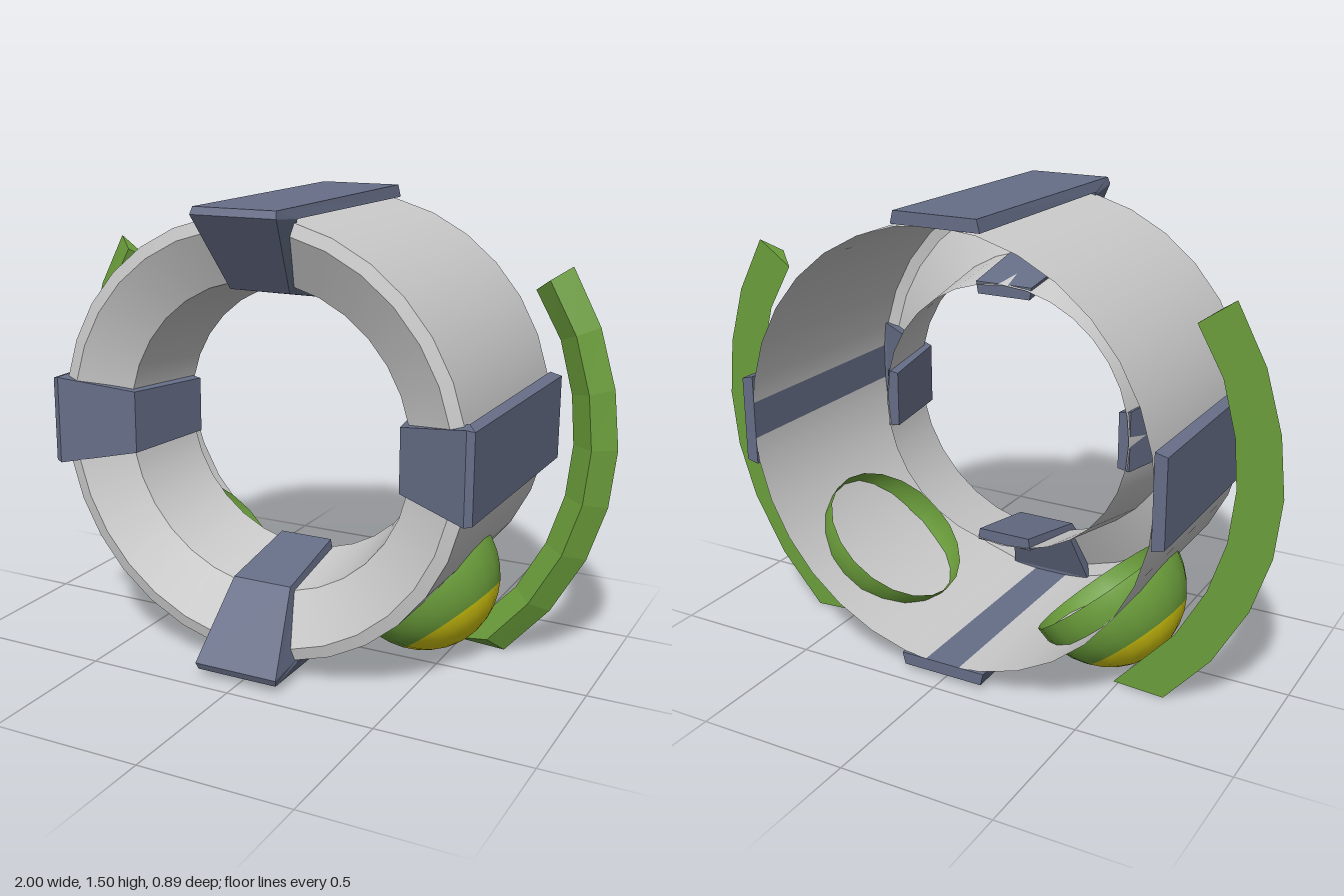
import * as THREE from 'three';

const CENTER_Y = 0.76;
const V = (x, y, z) => new THREE.Vector3(x, y, z);

function material(color, flatShading = false) {
  return new THREE.MeshStandardMaterial({ color, flatShading, side: THREE.DoubleSide });
}

// Skin a list of equal-sized closed sections, with flat end caps
function loft(sections) {
  const pos = [];
  const tri = (...pts) => pts.forEach((p) => pos.push(p.x, p.y, p.z));
  const n = sections[0].length;
  for (let s = 0; s < sections.length - 1; s++) {
    const a = sections[s], b = sections[s + 1];
    for (let i = 0; i < n; i++) {
      const j = (i + 1) % n;
      tri(a[i], a[j], b[j]);
      tri(a[i], b[j], b[i]);
    }
  }
  const first = sections[0], last = sections[sections.length - 1];
  for (let i = 1; i < n - 1; i++) {
    tri(first[0], first[i + 1], first[i]);
    tri(last[0], last[i], last[i + 1]);
  }
  const geo = new THREE.BufferGeometry();
  geo.setAttribute('position', new THREE.Float32BufferAttribute(pos, 3));
  geo.computeVertexNormals();
  return geo;
}

// Strap along the outside of the ring, hooked over its front rim
function clipGeometry(lip) {
  // outer radius, z, half width | inner radius, z, half width
  const rows = [
    [0.74, -0.445, 0.14, 0.70, -0.445, 0.15],
    [0.733, lip - 0.01, 0.14, 0.70, 0.31, 0.15],
    [0.71, lip, 0.145, 0.69, 0.31, 0.148],
    [0.47, 0.27, 0.103, 0.50, 0.23, 0.11],
    [0.41, -0.04, 0.093, 0.45, -0.04, 0.1],
  ];
  return loft(rows.map(([r, z, w, ri, zi, wi]) =>
    [V(-w, r, z), V(-wi, ri, zi), V(wi, ri, zi), V(w, r, z)]));
}

// Curved blade with a flat back and a ridge along its front
function bladeGeometry() {
  // outer x, y | inner x, y
  const rows = [
    [0.83, 1.30, 0.715, 1.22],
    [0.925, 1.12, 0.80, 1.07],
    [0.98, 0.93, 0.845, 0.90],
    [1.0, 0.74, 0.858, 0.74],
    [0.98, 0.55, 0.84, 0.57],
    [0.92, 0.365, 0.785, 0.40],
    [0.81, 0.17, 0.69, 0.23],
    [0.66, 0.0, 0.49, 0.01],
  ];
  return loft(rows.map(([xo, yo, xi, yi], i) => {
    const lift = i === rows.length - 1 ? 0.04 : 0;
    return [V(xo, yo, -0.205),
      V((xo + xi) / 2 + lift, (yo + yi) / 2 + lift, -0.158),
      V(xi, yi, -0.205)];
  }));
}

export function createModel() {
  const model = new THREE.Group();
  const grey = material(0xcccccc);
  const slate = material(0x666e87, true);
  const green = material(0x6b9e3b);
  const greenFlat = material(0x6b9e3b, true);
  const yellow = material(0xd8cb10);

  const add = (parent, name, geo, mat) => {
    const mesh = new THREE.Mesh(geo, mat);
    mesh.name = name;
    parent.add(mesh);
    return mesh;
  };

  // Ring: open at the back, funnel mouth at the front, creased between bands
  const ring = new THREE.Group();
  ring.name = 'ring';
  ring.position.y = CENTER_Y;
  const profile = [[0.706, -0.445], [0.706, 0.325], [0.665, 0.335], [0.5, 0.25], [0.45, -0.05]];
  const bands = ['outerWall', 'frontRim', 'funnel', 'throat'];
  bands.forEach((name, i) => {
    const pts = [profile[i], profile[i + 1]].map(([r, z]) => new THREE.Vector2(r, z));
    add(ring, name, new THREE.LatheGeometry(pts, 32).rotateX(Math.PI / 2), grey);
  });
  model.add(ring);

  // Four clips around the ring
  const clips = [['topClip', 0, 0.43], ['rightClip', 1, 0.36], ['bottomClip', 2, 0.45], ['leftClip', 3, 0.36]];
  for (const [name, quarter, lip] of clips) {
    const clip = add(model, name, clipGeometry(lip), slate);
    clip.position.y = CENTER_Y;
    clip.rotation.z = quarter * Math.PI / 2;
  }

  // Mirrored sides: a blade and a domed foot with a yellow cap
  const tilt = THREE.MathUtils.degToRad(50);
  const capAngle = THREE.MathUtils.degToRad(49);
  for (const [prefix, side] of [['left', 1], ['right', -1]]) {
    const half = new THREE.Group();
    half.name = prefix + 'Side';
    half.scale.x = side;
    add(half, prefix + 'Blade', bladeGeometry(), greenFlat);

    const foot = new THREE.Group();
    foot.name = prefix + 'Foot';
    foot.position.set(0.62 * Math.cos(tilt), CENTER_Y - 0.62 * Math.sin(tilt), -0.088);
    foot.rotation.z = -Math.PI / 2 - tilt;
    foot.scale.y = 1.05;
    add(foot, 'footCap', new THREE.SphereGeometry(0.26, 20, 5, 0, Math.PI * 2, 0, capAngle), yellow);
    add(foot, 'footDome', new THREE.SphereGeometry(0.26, 20, 4, 0, Math.PI * 2, capAngle, Math.PI / 2 - capAngle), green);
    half.add(foot);
    model.add(half);
  }
  return model;
}
